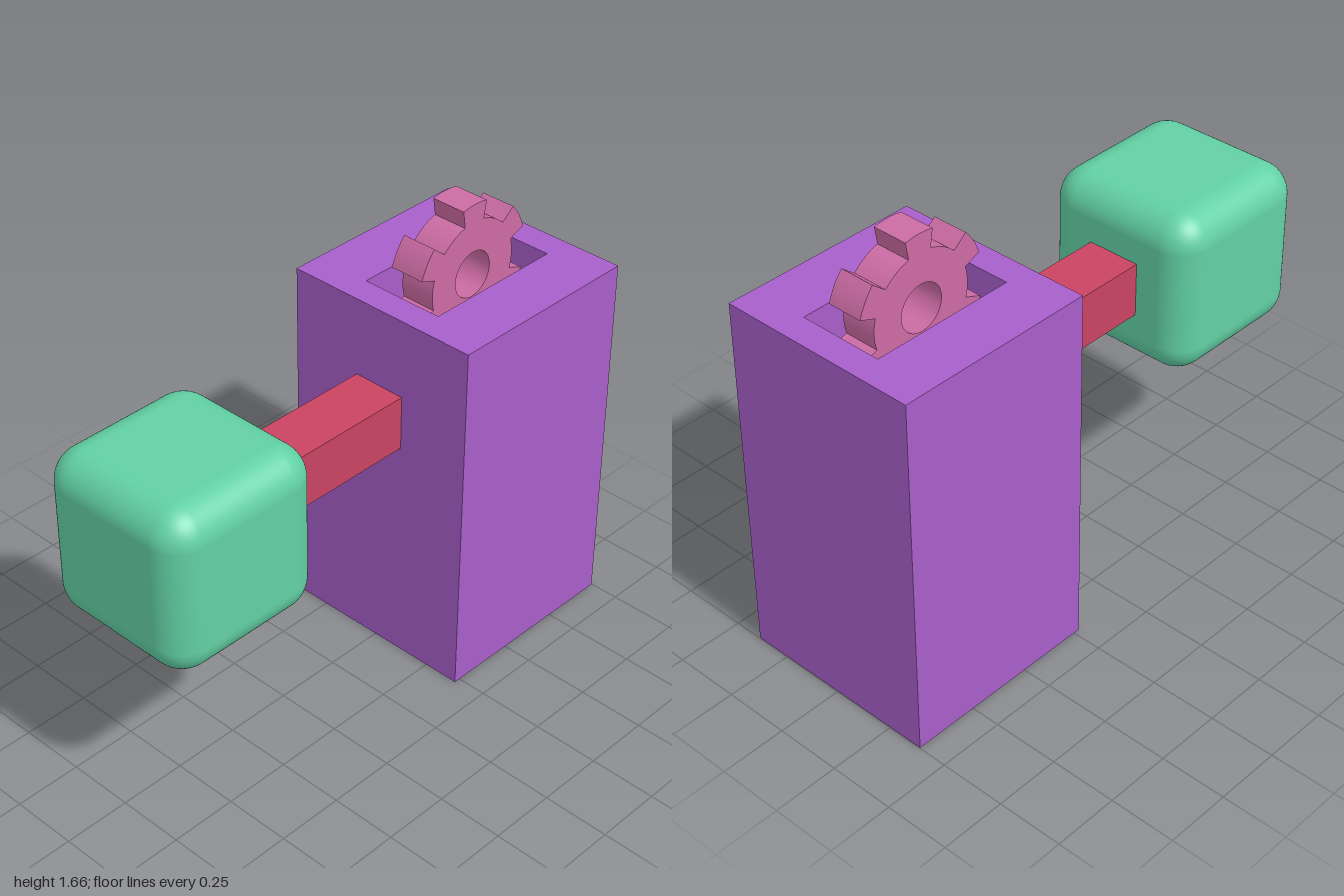
import * as THREE from 'three';
import { RoundedBoxGeometry } from 'three/addons/geometries/RoundedBoxGeometry.js';

const GEAR = { x: 0.612, y: 1.39, teeth: 6, tip: 0.27, root: 0.203, bore: 0.087, depth: 0.135 };

function rectPoints(w, h) {
  return [[-w, -h], [w, -h], [w, h], [-w, h]].map(([x, y]) => new THREE.Vector2(x / 2, y / 2));
}

// Toothed outline with rounded tips and valleys, and a round bore
function gearShape() {
  const shape = new THREE.Shape();
  const step = (Math.PI * 2) / GEAR.teeth;
  const tipHalf = 0.216, rootHalf = 0.235;
  for (let i = 0; i < GEAR.teeth; i++) {
    const a = Math.PI / 2 + i * step;
    const start = a - rootHalf;
    if (i === 0) shape.moveTo(GEAR.root * Math.cos(start), GEAR.root * Math.sin(start));
    shape.absarc(0, 0, GEAR.tip, a - tipHalf, a + tipHalf, false);
    shape.absarc(0, 0, GEAR.root, a + rootHalf, a + step - rootHalf, false);
  }
  const bore = new THREE.Path();
  bore.absarc(0, 0, GEAR.bore, 0, Math.PI * 2, true);
  shape.holes.push(bore);
  return shape;
}

export function createModel() {
  const model = new THREE.Group();
  const add = (name, geometry, color, x, y, z = 0) => {
    const mesh = new THREE.Mesh(geometry, new THREE.MeshStandardMaterial({ color }));
    mesh.name = name;
    mesh.position.set(x, y, z);
    model.add(mesh);
    return mesh;
  };

  // Tall block: solid lower body and a rim around the gear pocket
  const purple = 0xa85fca, top = 1.39, pocket = 0.29, width = 0.772, depth = 0.776;
  const body = top - pocket;
  add('blockBody', new THREE.BoxGeometry(width, body, depth), purple, GEAR.x, body / 2);
  const rimShape = new THREE.Shape(rectPoints(width, depth));
  rimShape.holes.push(new THREE.Path(rectPoints(0.56, 0.325).reverse()));
  const rim = new THREE.ExtrudeGeometry(rimShape, { depth: pocket, bevelEnabled: false });
  rim.rotateX(-Math.PI / 2);
  add('blockRim', rim, purple, GEAR.x, body);

  // Gear standing half sunk in the pocket
  const gear = new THREE.ExtrudeGeometry(gearShape(), { depth: GEAR.depth, bevelEnabled: false, curveSegments: 24 });
  gear.translate(0, 0, -GEAR.depth / 2);
  add('gear', gear, 0xcc6ca4, GEAR.x, GEAR.y);

  // Square bar joining the block to the cube
  add('connectingBar', new THREE.BoxGeometry(0.596, 0.208, 0.208), 0xc94462, -0.072, 0.987);

  // Rounded cube
  add('roundedCube', new RoundedBoxGeometry(0.63, 0.63, 0.63, 8, 0.12), 0x62d0a4, -0.685, 0.988);

  return model;
}
